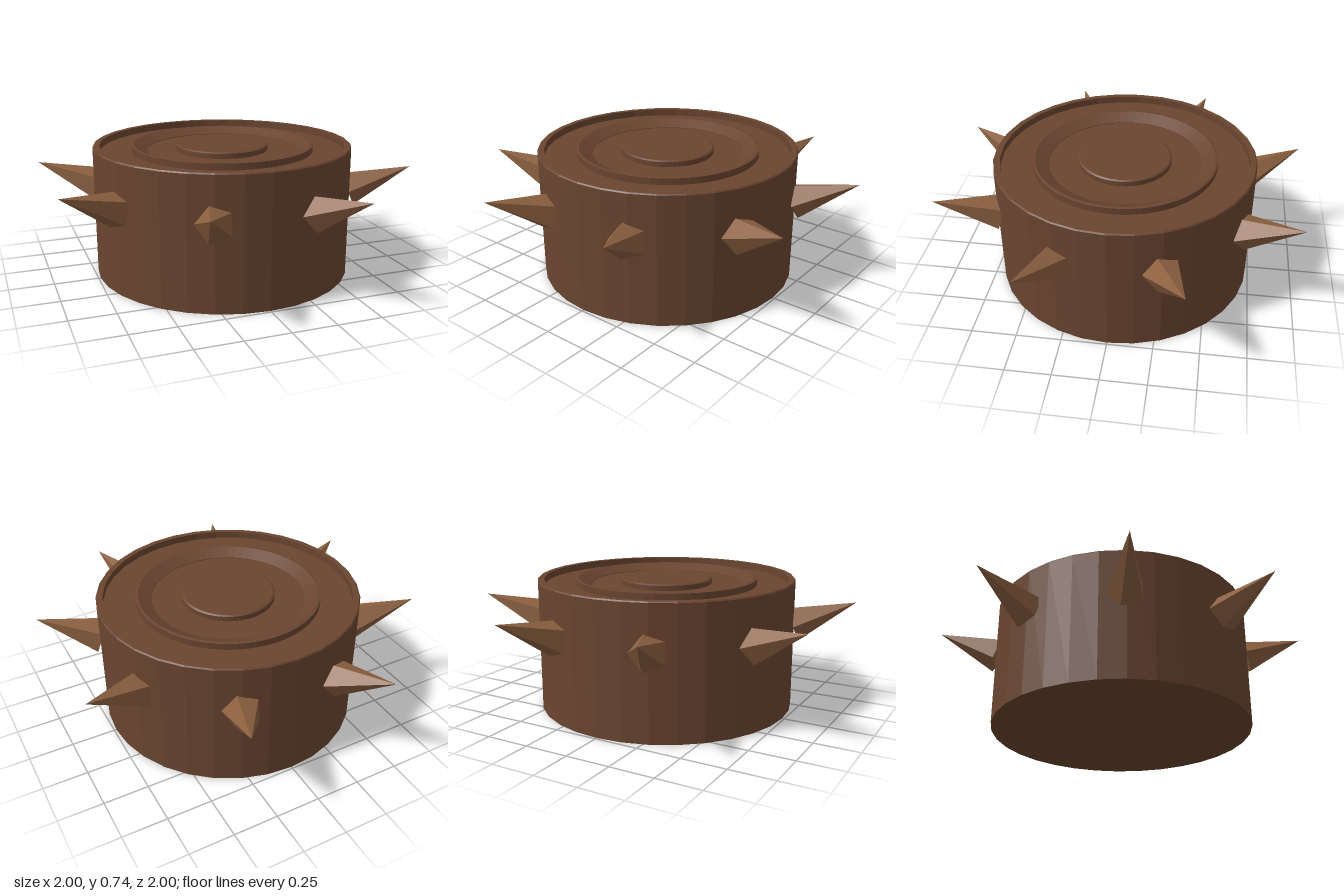
import * as THREE from 'three';

const bodyBrown = new THREE.MeshStandardMaterial({ color: 0x6a4530 });
bodyBrown.name = 'dark brown';
const spikeBrown = new THREE.MeshStandardMaterial({ color: 0x8c6040 });
spikeBrown.name = 'light brown';

// Faceted solid turned around the y axis from [radius, height] pairs
function turned(name, profile, sides) {
  const points = profile.map(([r, y]) => new THREE.Vector2(r, y));
  const geometry = new THREE.LatheGeometry(points, sides).toNonIndexed();
  geometry.computeVertexNormals();
  const mesh = new THREE.Mesh(geometry, bodyBrown);
  mesh.name = name;
  return mesh;
}

export function createModel() {
  const model = new THREE.Group();
  model.name = 'spikedDrum';

  // Drum with a raised rim and a sunken top
  model.add(turned('drum', [
    [0, 0], [0.738, 0], [0.738, 0.735], [0.732, 0.742],
    [0.7, 0.742], [0.7, 0.702], [0, 0.702],
  ], 32));

  // Raised ring whose inner side slopes down
  model.add(turned('topRing', [
    [0.52, 0.7], [0.52, 0.738], [0.505, 0.741], [0.43, 0.705], [0.43, 0.7],
  ], 64));

  // Raised centre disc
  model.add(turned('centreDisc', [
    [0.262, 0.7], [0.262, 0.73], [0.253, 0.736], [0, 0.736],
  ], 64));

  // Eight five-sided spikes, tilted upward
  const base = new THREE.Vector2(0.73, 0.48);
  const tip = new THREE.Vector2(1.082, 0.61);
  const along = tip.clone().sub(base);
  const spikeGeometry = new THREE.ConeGeometry(0.105, along.length(), 5)
    .rotateZ(along.angle() - Math.PI / 2)
    .translate((base.x + tip.x) / 2, (base.y + tip.y) / 2, 0)
    .toNonIndexed();
  spikeGeometry.computeVertexNormals();
  for (let i = 0; i < 8; i++) {
    const spike = new THREE.Mesh(spikeGeometry, spikeBrown);
    spike.name = `spike${i + 1}`;
    spike.rotation.y = (i + 0.5) * Math.PI / 4;
    model.add(spike);
  }
  return model;
}
